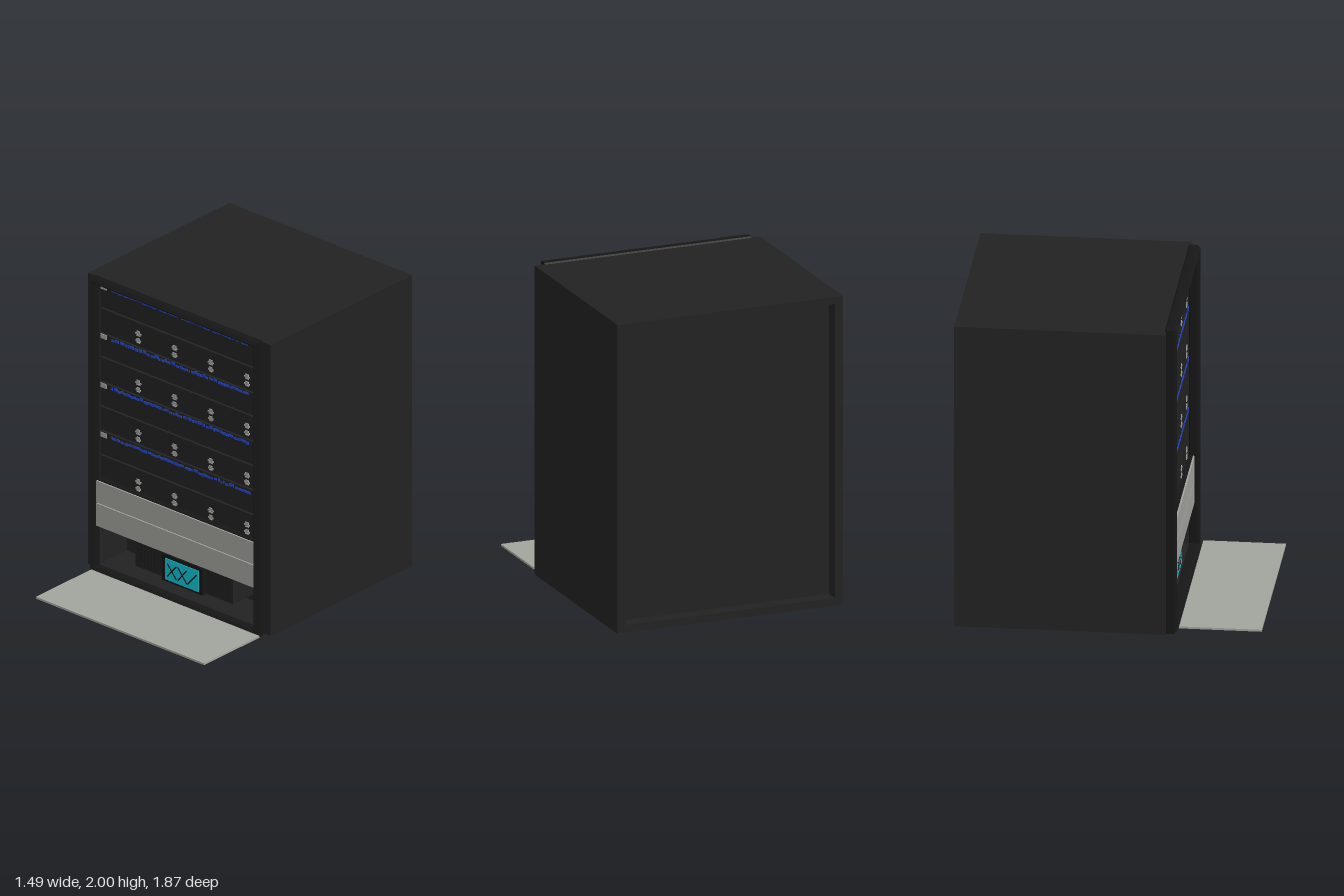
import * as THREE from 'three';
import { mergeGeometries } from 'three/addons/utils/BufferGeometryUtils.js';

const mat = (name, color) => Object.assign(new THREE.MeshStandardMaterial({ color }), { name });

export function createModel() {
  const body = mat('charcoal cabinet', 0x222222);
  const trim = mat('black trim', 0x161616);
  const panel = mat('pale grey', 0xa2a49d);
  const cyan = mat('cyan screen', 0x10c4d4);
  const blue = mat('blue lights', 0x2444c8);

  const model = new THREE.Group();
  model.name = 'rackCabinet';

  const add = (name, geometry, material) => {
    const mesh = new THREE.Mesh(geometry, material);
    mesh.name = name;
    model.add(mesh);
    return mesh;
  };
  // box given by its limits on each axis
  const block = (x0, x1, y0, y1, z0, z1) =>
    new THREE.BoxGeometry(x1 - x0, y1 - y0, z1 - z0)
      .translate((x0 + x1) / 2, (y0 + y1) / 2, (z0 + z1) / 2);
  const rect = (C, x0, x1, y0, y1) => {
    const s = new C();
    s.moveTo(x0, y0); s.lineTo(x1, y0); s.lineTo(x1, y1); s.lineTo(x0, y1); s.closePath();
    return s;
  };
  // rectangular ring extruded along z
  const ring = (outer, inner, z0, depth, bevel = {}) => {
    const s = rect(THREE.Shape, ...outer);
    s.holes.push(rect(THREE.Path, ...inner));
    return new THREE.ExtrudeGeometry(s, { depth, bevelEnabled: false, ...bevel }).translate(0, 0, z0);
  };
  let seed = 7;
  const rand = () => (seed = (seed * 16807) % 2147483647) / 2147483647;

  // Cabinet: solid core, hollow front and recessed back
  const outline = [-0.745, 0.745, 0.02, 1.99];
  add('cabinetCore', block(...outline, -0.845, 0.1), body);
  add('cabinetFront', ring(outline, [-0.655, 0.65, 0.045, 1.962], 0.1, 0.255), body);
  add('backRim', ring(outline, [-0.69, 0.69, 0.07, 1.945], -0.935, 0.09), body);

  // Bevelled frame around the front opening
  add('frontFrame', ring([-0.67, 0.667, 0.018, 1.982], [-0.668, 0.663, 0.032, 1.978], 0.355, 0.045,
    { bevelEnabled: true, bevelSegments: 1, bevelSize: 0.016, bevelThickness: 0.02 }), trim);

  // Rack units, with dark gaps between them
  const edges = [0.63, 0.79, 0.955, 1.12, 1.285, 1.455, 1.615, 1.785, 1.962];
  add('rackBacking', block(-0.653, 0.648, 0.63, 1.962, 0.1, 0.325), trim);
  for (let i = 0; i < 8; i++) {
    add('rackUnit', block(-0.65, 0.645, edges[i] + 0.006, edges[i + 1] - 0.006, 0.3, 0.345), body);
  }

  // Light strips with a pale tab at one end and a blue tab at the other
  for (const y of [0.928, 1.263, 1.595, 1.93]) {
    const lights = [block(0.61, 0.642, y - 0.015, y + 0.015, 0.344, 0.35)];
    for (let x = -0.56; x < 0.55;) {
      const w = 0.008 + rand() * 0.022;
      const low = y - 0.013 + rand() * 0.009;
      lights.push(block(x, x + w, low, low + 0.012 + rand() * 0.007, 0.344, 0.35));
      x += w + rand() * 0.012;
    }
    add('lightStrip', mergeGeometries(lights), blue);
    add('stripTab', block(-0.648, -0.597, y - 0.015, y + 0.015, 0.344, 0.35), panel);
  }

  // Small connectors, two rows on every second unit
  for (const y of [0.685, 1.02, 1.355, 1.688]) {
    const ports = [];
    for (const x of [-0.34, -0.045, 0.25, 0.545]) {
      for (const [dx, dy, w, h] of [
        [0, 0.03, 0.026, 0.014], [0, 0.019, 0.046, 0.009], [0, 0.007, 0.03, 0.007],
        [0, -0.018, 0.026, 0.012], [0, -0.029, 0.042, 0.011], [0, -0.041, 0.026, 0.006]]) {
        ports.push(block(x + dx - w / 2, x + dx + w / 2, y + dy - h / 2, y + dy + h / 2, 0.344, 0.35));
      }
    }
    add('connectors', mergeGeometries(ports), panel);
  }

  // Pale drawers
  add('drawerBacking', block(-0.65, 0.645, 0.318, 0.63, 0.1, 0.375), trim);
  add('lowerDrawer', block(-0.65, 0.645, 0.32, 0.472, 0.3, 0.385), panel);
  add('upperDrawer', block(-0.65, 0.645, 0.478, 0.625, 0.3, 0.385), panel);

  // Open bay with speaker grilles either side of the screen
  for (const [x0, x1] of [[-0.375, -0.14], [0.19, 0.42]]) {
    add('speaker', block(x0, x1, 0.12, 0.29, 0.1, 0.335), body);
    const holes = [];
    for (let i = 0; i < 11; i++) {
      for (let j = 0; j < 9; j++) {
        const x = x0 + 0.015 + i * 0.019, y = 0.137 + j * 0.017;
        holes.push(block(x, x + 0.008, y, y + 0.008, 0.334, 0.337));
      }
    }
    add('speakerHoles', mergeGeometries(holes), trim);
  }
  add('screenHousing', block(-0.14, 0.19, 0.11, 0.29, 0.1, 0.355), trim);
  add('screen', block(-0.11, 0.16, 0.125, 0.268, 0.353, 0.36), cyan);
  for (const x of [-0.07, 0.14]) {
    add('knob', new THREE.CylinderGeometry(0.012, 0.012, 0.03, 10).rotateX(Math.PI / 2)
      .translate(x, 0.298, 0.345), trim);
  }

  // Slanted traces on the screen
  for (const [x, lean] of [[-0.055, 1], [-0.055, -1], [0.03, 1], [0.03, -1], [0.11, 1]]) {
    const trace = add('screenTrace', new THREE.BoxGeometry(0.008, 0.115, 0.003), trim);
    trace.position.set(x, 0.195, 0.361);
    trace.rotation.z = -lean * 0.7;
  }

  // Loose cover lying in front
  add('fallenCover', block(-0.65, 0.72, 0.027, 0.04, 0.43, 0.935), panel);

  return model;
}
